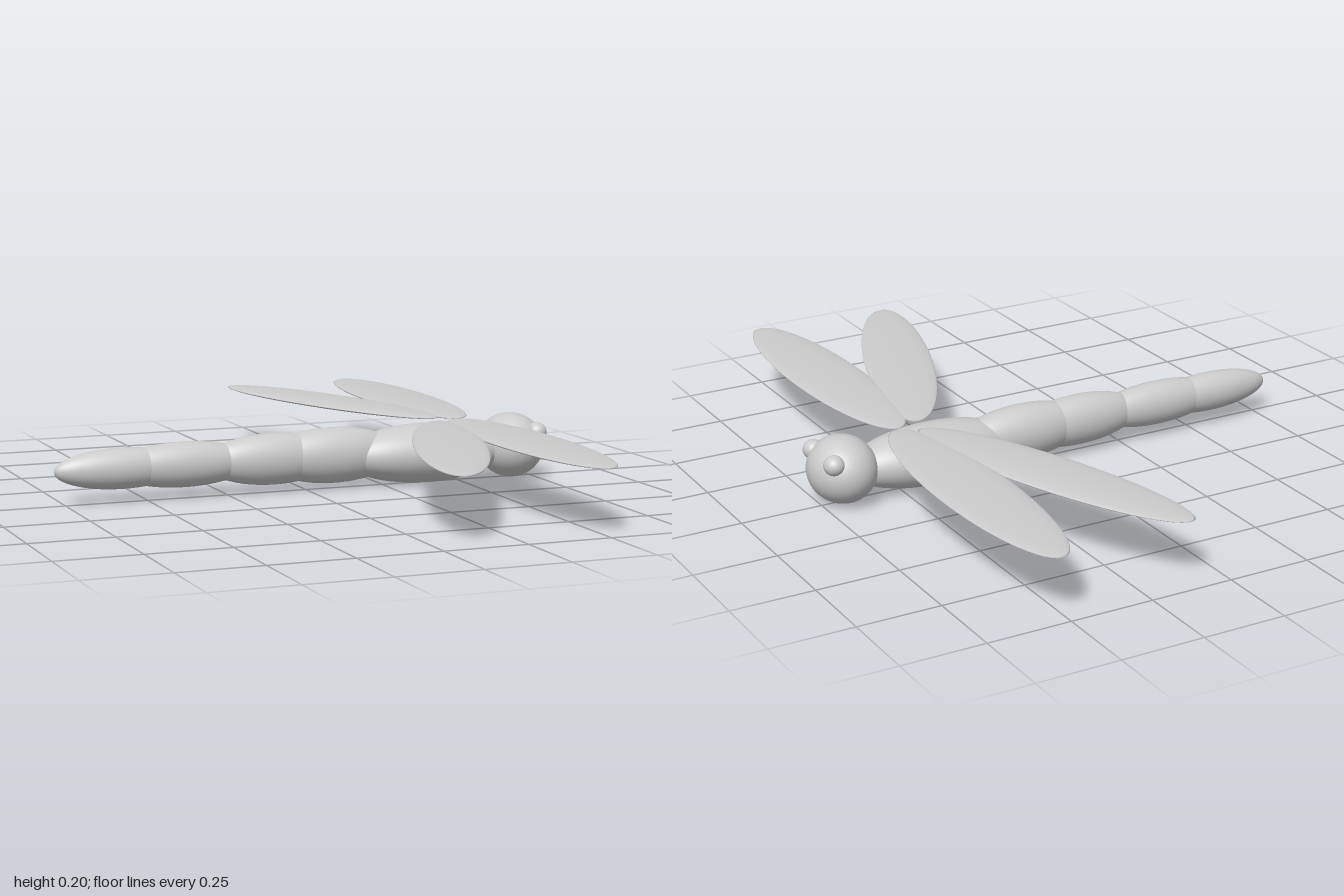
import * as THREE from 'three';

export function createModel() {
  const model = new THREE.Group();
  const material = new THREE.MeshStandardMaterial({ color: 0xcccccc });
  const ball = new THREE.SphereGeometry(1, 40, 28);
  ball.rotateZ(Math.PI / 2); // poles along the body axis

  // An ellipsoid with its centre, its three radii and a turn about y
  function ellipsoid(name, centre, radii, turn = 0) {
    const mesh = new THREE.Mesh(ball, material);
    mesh.name = name;
    mesh.position.set(...centre);
    mesh.scale.set(...radii);
    mesh.rotation.y = turn;
    model.add(mesh);
    return mesh;
  }

  // Head and thorax
  ellipsoid('head', [0.68, 0.1, 0.004], [0.102, 0.1, 0.115]);
  ellipsoid('thorax', [0.39, 0.091, 0], [0.27, 0.091, 0.108]);

  // Eyes
  for (const side of [1, -1]) {
    ellipsoid(side > 0 ? 'leftEye' : 'rightEye',
      [0.736, 0.146, 0.004 + side * 0.07], [0.031, 0.03, 0.033]);
  }

  // Overlapping abdomen segments, from thorax to tail: x, length, height, width
  [
    [0.09, 0.22, 0.085, 0.074],
    [-0.105, 0.215, 0.078, 0.066],
    [-0.385, 0.22, 0.068, 0.06],
    [-0.577, 0.205, 0.061, 0.055],
  ].forEach(([x, rx, ry, rz], i) =>
    ellipsoid(`abdomenSegment${i + 1}`, [x, 0.1, -0.005], [rx, ry, rz]));

  // Thin wings: x, z, half width, half length, turn
  [
    ['leftForewing', 0.498, 0.495, 0.113, 0.497, 0],
    ['rightForewing', 0.517, -0.503, 0.114, 0.497, -0.02],
    ['leftHindwing', 0.252, 0.49, 0.106, 0.5, -0.36],
    ['rightHindwing', 0.277, -0.505, 0.106, 0.5, 0.34],
  ].forEach(([name, x, z, rx, rz, turn]) =>
    ellipsoid(name, [x, 0.189, z], [rx, 0.013, rz], turn));

  return model;
}
